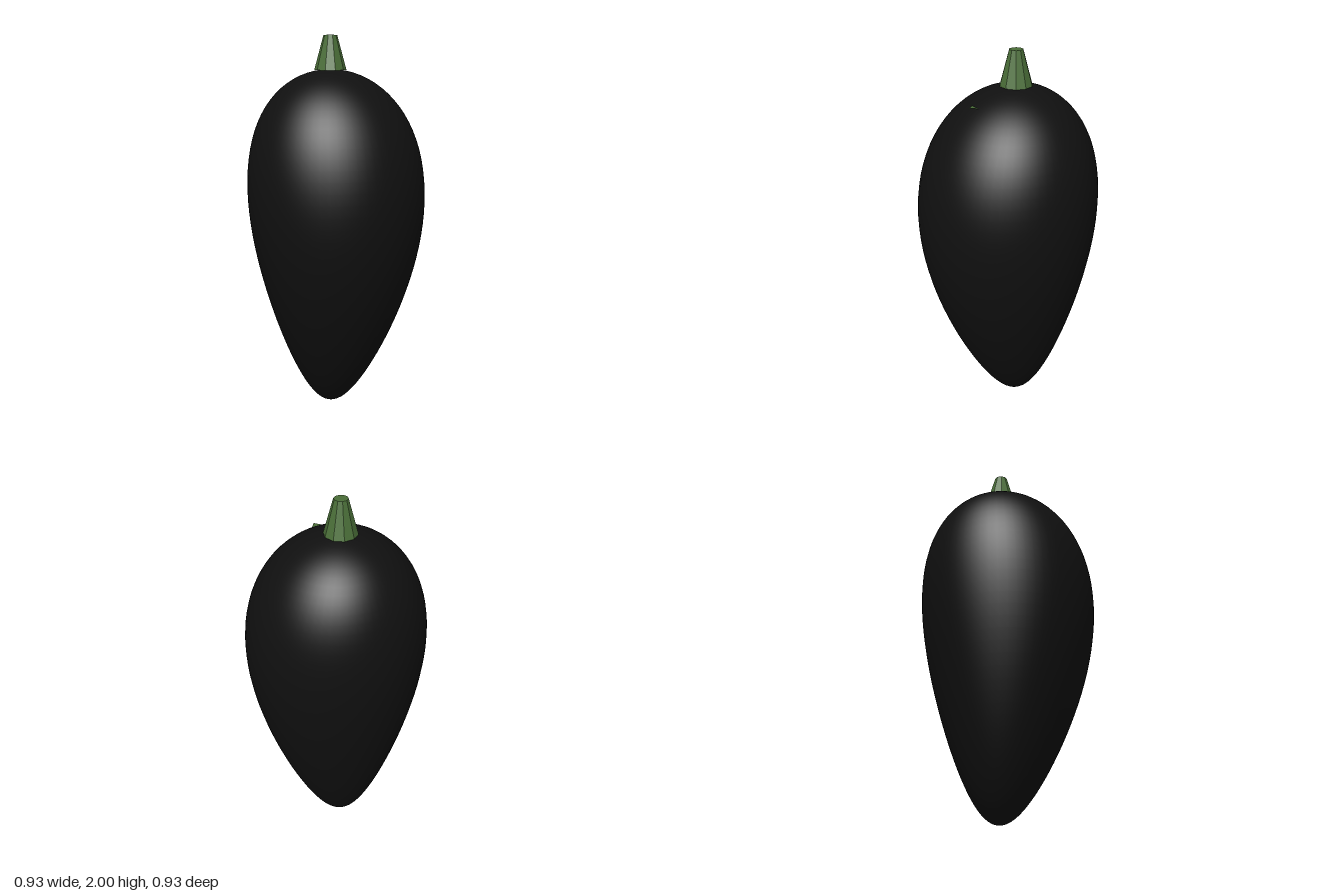
import * as THREE from 'three';
import { mergeVertices } from 'three/addons/utils/BufferGeometryUtils.js';

const BODY_HEIGHT = 1.83;
const STEM_X = -0.05;

// Sideways bow of the body's axis at height t (0..1)
const bow = (t) => STEM_X + 0.057 * Math.sin(Math.PI * t);

// Sphere stretched into a teardrop, tapered downward and bowed toward +x
function bodyGeometry() {
  let geo = new THREE.SphereGeometry(1, 64, 48);
  geo.deleteAttribute('uv');
  geo.deleteAttribute('normal');
  geo = mergeVertices(geo);
  const p = geo.attributes.position;
  for (let i = 0; i < p.count; i++) {
    const h = p.getY(i);
    const t = (1 + h) / 2;
    const r = 0.437 * (1 + 0.38 * h);
    p.setXYZ(i, p.getX(i) * r + bow(t), t * BODY_HEIGHT, p.getZ(i) * r);
  }
  geo.computeVertexNormals();
  return geo;
}

export function createModel() {
  const group = new THREE.Group();
  const skin = new THREE.MeshStandardMaterial({ name: 'blackSkin', color: 0x101010 });
  const green = new THREE.MeshStandardMaterial({ name: 'stemGreen', color: 0x4a6e38 });
  green.flatShading = true;
  green.side = THREE.DoubleSide;

  const add = (name, geo, mat) => {
    const mesh = new THREE.Mesh(geo, mat);
    mesh.name = name;
    group.add(mesh);
    return mesh;
  };

  add('body', bodyGeometry(), skin);

  // Ten-sided tapered stem
  const stemBase = 1.825;
  const stem = add('stem', new THREE.CylinderGeometry(0.035, 0.083, 2 - stemBase, 10), green);
  stem.position.set(STEM_X, (2 + stemBase) / 2, 0);

  // Leaf tip poking out of the shoulder
  const leaf = new THREE.Shape([
    new THREE.Vector2(0.18, -0.033),
    new THREE.Vector2(0.222, 0),
    new THREE.Vector2(0.18, 0.033),
  ]);
  const tip = add('leafTip', new THREE.ShapeGeometry(leaf), green);
  tip.rotation.x = -Math.PI / 2;
  tip.position.y = 1.757;

  return group;
}
